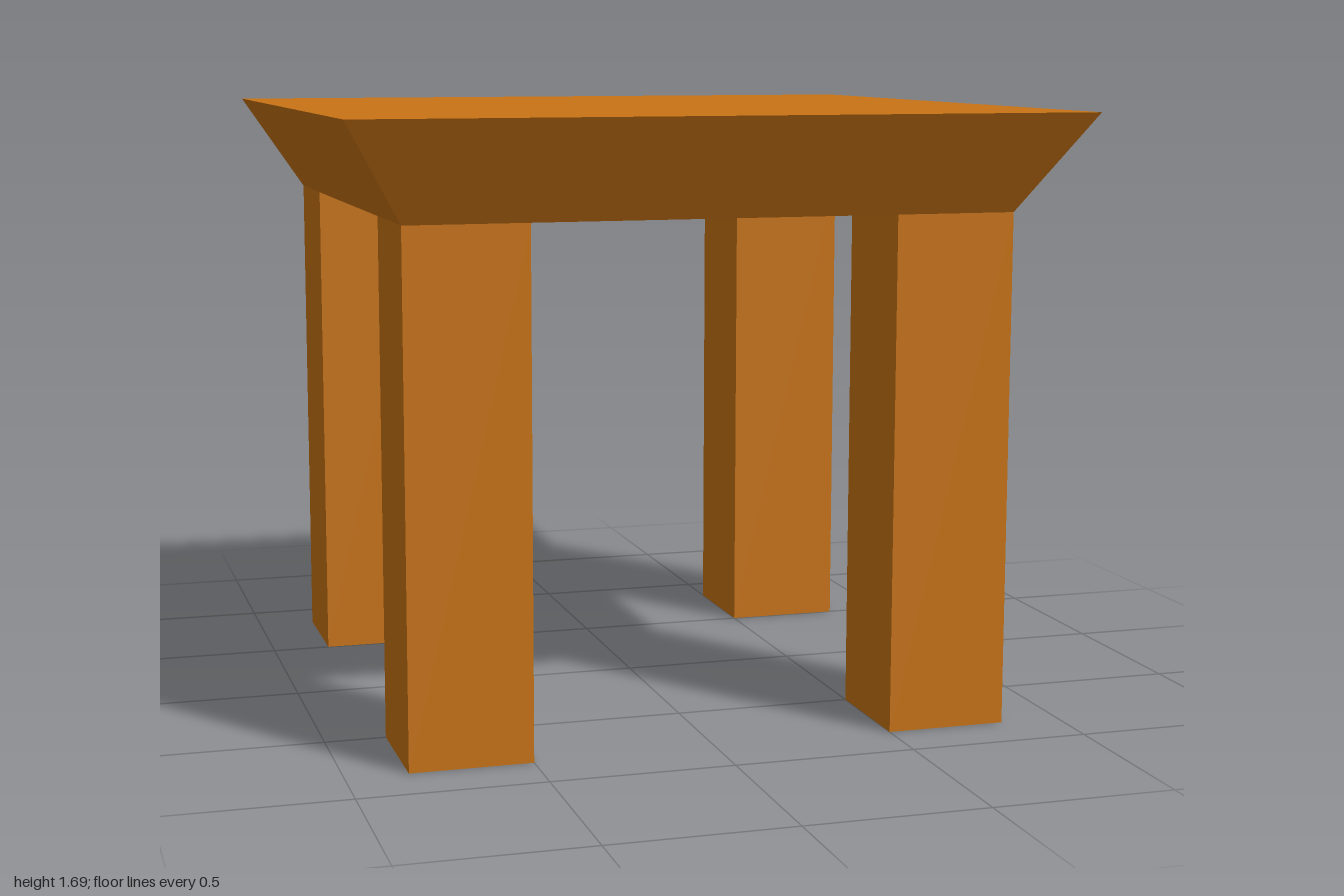
import * as THREE from 'three';

const LEG_HEIGHT = 1.415;
const TOP_HEIGHT = 0.27;
const LEG_SIZE = 0.333;
const UNDERSIDE = 0.833; // half width of the underside, flush with the legs

export function createModel() {
  const model = new THREE.Group();
  model.name = 'table';
  const wood = new THREE.MeshStandardMaterial({ color: 0xc87314, flatShading: true });

  // Tabletop: a slab whose lower edge is drawn inwards
  const slab = new THREE.BoxGeometry(2, TOP_HEIGHT, 2);
  const pos = slab.attributes.position;
  for (let i = 0; i < pos.count; i++) {
    if (pos.getY(i) < 0) {
      pos.setX(i, Math.sign(pos.getX(i)) * UNDERSIDE);
      pos.setZ(i, Math.sign(pos.getZ(i)) * UNDERSIDE);
    }
  }
  slab.computeVertexNormals();
  const tabletop = new THREE.Mesh(slab, wood);
  tabletop.name = 'tabletop';
  tabletop.position.y = LEG_HEIGHT + TOP_HEIGHT / 2;
  model.add(tabletop);

  // Four square legs at the corners of the underside
  const legGeometry = new THREE.BoxGeometry(LEG_SIZE, LEG_HEIGHT, LEG_SIZE);
  const offset = UNDERSIDE - LEG_SIZE / 2;
  for (const [zName, z] of [['front', 1], ['back', -1]]) {
    for (const [xName, x] of [['Left', 1], ['Right', -1]]) {
      const leg = new THREE.Mesh(legGeometry, wood);
      leg.name = `${zName}${xName}Leg`;
      leg.position.set(x * offset, LEG_HEIGHT / 2, z * offset);
      model.add(leg);
    }
  }

  return model;
}
